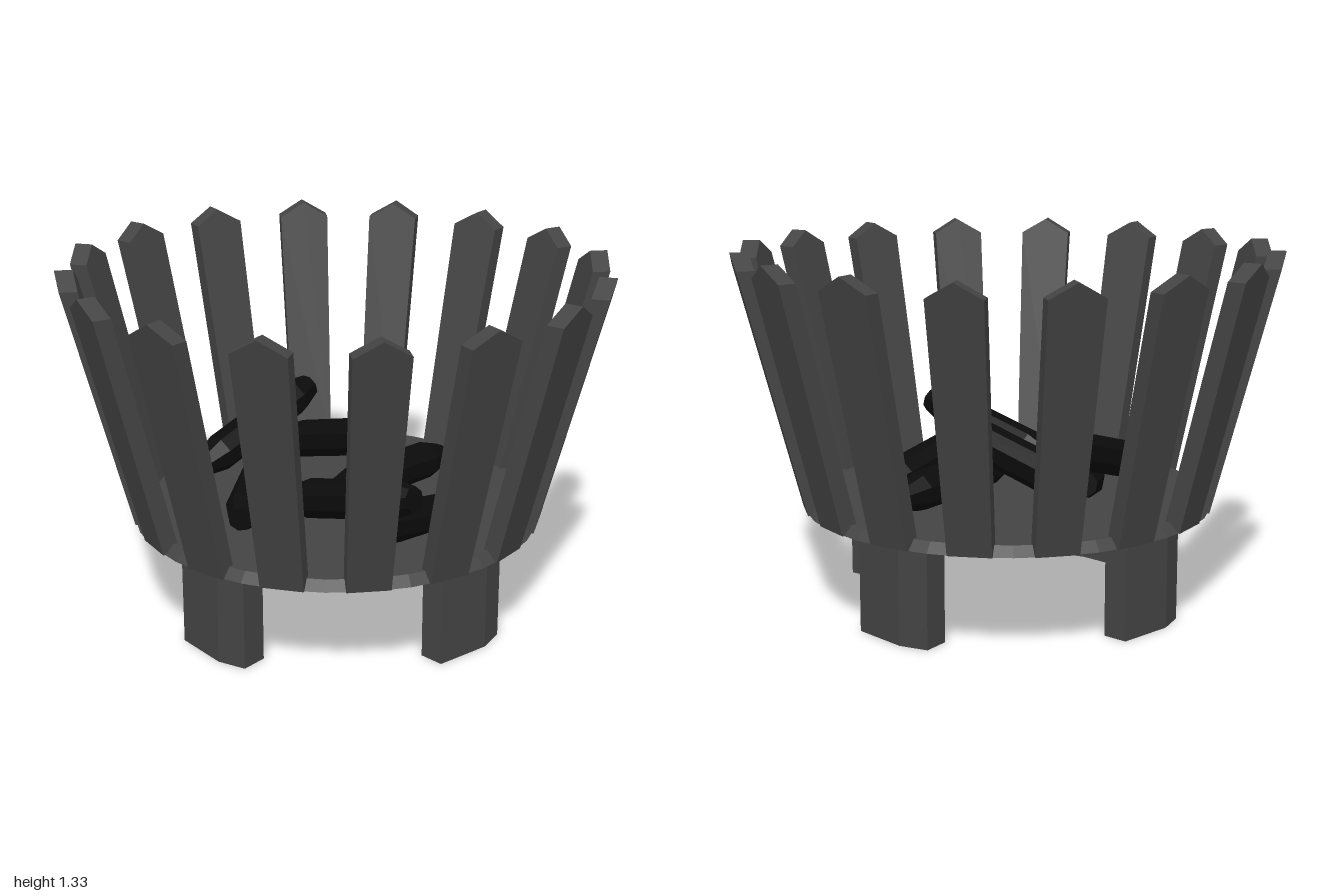
import * as THREE from 'three';

const iron = new THREE.MeshStandardMaterial({ color: 0x444444, flatShading: true });
const charred = new THREE.MeshStandardMaterial({ color: 0x0b0b0b, flatShading: true });

const BASE_Y = 0.375;
const SLATS = 16;
const STEP = (Math.PI * 2) / SLATS;

function add(parent, name, geometry, material) {
  const mesh = new THREE.Mesh(geometry, material);
  mesh.name = name;
  parent.add(mesh);
  return mesh;
}

function polygon(points) {
  return new THREE.Shape(points.map(([x, y]) => new THREE.Vector2(x, y)));
}

// Pointed slat, wider at the top and leaning outwards
function slatGeometry() {
  const outline = polygon([[-0.077, 0], [0.077, 0], [0.095, 0.895], [0, 0.95], [-0.095, 0.895]]);
  const geometry = new THREE.ExtrudeGeometry(outline, { depth: 0.065, bevelEnabled: false });
  const p = geometry.attributes.position;
  for (let i = 0; i < p.count; i++) p.setZ(i, p.getZ(i) + 0.69 + p.getY(i) * 0.256);
  geometry.computeVertexNormals();
  return geometry;
}

// Leg with a plan that follows the ring of the base
function legGeometry() {
  const plan = polygon([[-0.155, 0.552], [0.05, 0.572], [0.152, 0.552],
    [0.157, 0.652], [0.05, 0.677], [-0.16, 0.645]]);
  const geometry = new THREE.ExtrudeGeometry(plan, { depth: BASE_Y, bevelEnabled: false });
  geometry.rotateX(Math.PI / 2);
  geometry.translate(0, BASE_Y, 0);
  return geometry;
}

// Eight-sided log with tapered ends, running from one point to another
function addLog(parent, name, from, to) {
  const a = new THREE.Vector3(...from);
  const b = new THREE.Vector3(...to);
  const half = a.distanceTo(b) / 2;
  const profile = [[0, -half], [0.046, -half], [0.072, -half + 0.09],
    [0.072, half - 0.09], [0.046, half], [0, half]].map(([r, y]) => new THREE.Vector2(r, y));
  const geometry = new THREE.LatheGeometry(profile, 8, Math.PI / 8);
  const log = add(parent, name, geometry, charred);
  log.position.copy(a).add(b).multiplyScalar(0.5);
  log.quaternion.setFromUnitVectors(new THREE.Vector3(0, 1, 0), b.sub(a).normalize());
}

export function createModel() {
  const model = new THREE.Group();
  model.name = 'fireBasket';

  // Base plate with sloping rim
  const plate = add(model, 'basePlate', new THREE.CylinderGeometry(0.725, 0.755, 0.035, 32), iron);
  plate.position.y = BASE_Y + 0.0175;
  plate.rotation.y = STEP / 4;

  // Ring of slats
  const slats = new THREE.Group();
  slats.name = 'slats';
  model.add(slats);
  const slat = slatGeometry();
  for (let i = 0; i < SLATS; i++) {
    const mesh = add(slats, 'slat', slat, iron);
    mesh.position.y = BASE_Y;
    mesh.rotation.y = STEP * (i + 0.25);
  }

  // Four legs
  const legs = new THREE.Group();
  legs.name = 'legs';
  model.add(legs);
  const leg = legGeometry();
  for (let i = 0; i < 4; i++) add(legs, 'leg', leg, iron).rotation.y = (i * Math.PI) / 2;

  // Stacked burnt logs
  const logs = new THREE.Group();
  logs.name = 'logs';
  model.add(logs);
  addLog(logs, 'rightLog', [-0.405, 0.69, -0.28], [-0.405, 0.52, 0.3]);
  addLog(logs, 'crossLog', [-0.39, 0.51, -0.13], [0.155, 0.66, -0.13]);
  addLog(logs, 'backLog', [0.095, 0.465, -0.49], [0.095, 0.495, 0.105]);
  addLog(logs, 'diagonalLog', [-0.36, 0.49, -0.01], [-0.015, 0.47, 0.49]);
  addLog(logs, 'frontLog', [0.005, 0.485, 0.25], [0.585, 0.64, 0.25]);
  addLog(logs, 'leftLog', [0.417, 0.41, -0.225], [0.417, 0.515, 0.365]);

  return model;
}
